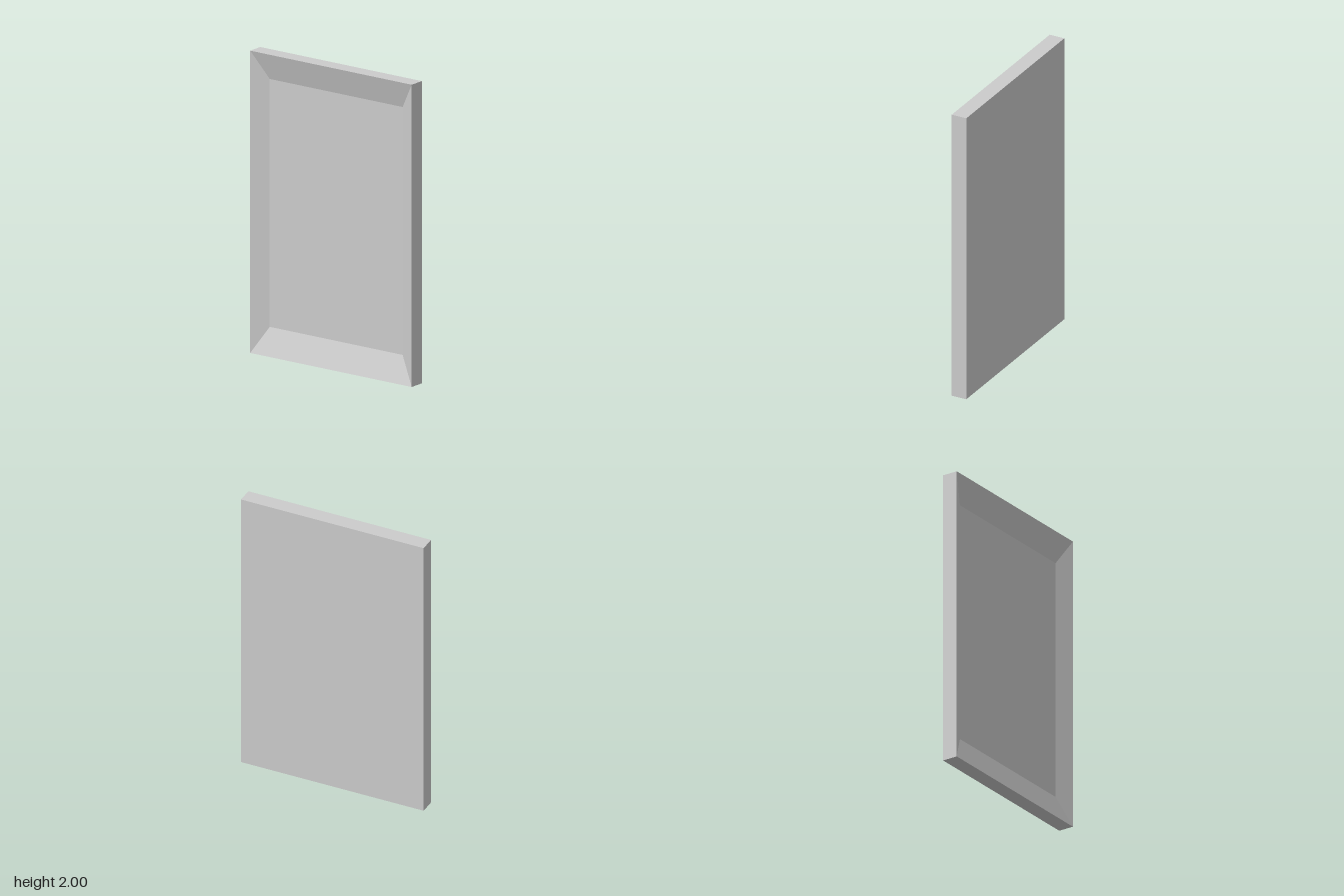
import * as THREE from 'three';

const W = 0.645, H = 1, D = 0.053;   // outer half width, half height, half depth
const w = 0.531, h = 0.82, floorZ = -0.002; // recessed panel

// Rectangle corners, counter-clockwise seen from the front
const ring = (x, y, z) => [[-x, -y, z], [x, -y, z], [x, y, z], [-x, y, z]];

function quadMesh(name, quads) {
  const pos = quads.flatMap(([a, b, c, d]) => [a, b, c, a, c, d].flat());
  const geo = new THREE.BufferGeometry();
  geo.setAttribute('position', new THREE.Float32BufferAttribute(pos, 3));
  geo.computeVertexNormals();
  const mesh = new THREE.Mesh(geo, new THREE.MeshStandardMaterial({ color: 0xcccccc, flatShading: true }));
  mesh.name = name;
  mesh.position.y = H;
  return mesh;
}

// Four walls joining one ring to the next
const walls = (a, b) => a.map((p, i) => [p, a[(i + 1) % 4], b[(i + 1) % 4], b[i]]);

export function createModel() {
  const back = ring(W, H, -D), rim = ring(W, H, D), inner = ring(w, h, floorZ);
  const model = new THREE.Group();
  model.name = 'recessedPanel';
  model.add(
    quadMesh('backPanel', [[...back].reverse()]),
    quadMesh('outerSides', walls(back, rim)),
    quadMesh('slopedFrame', walls(rim, inner)),
    quadMesh('recessFloor', [inner])
  );
  return model;
}
